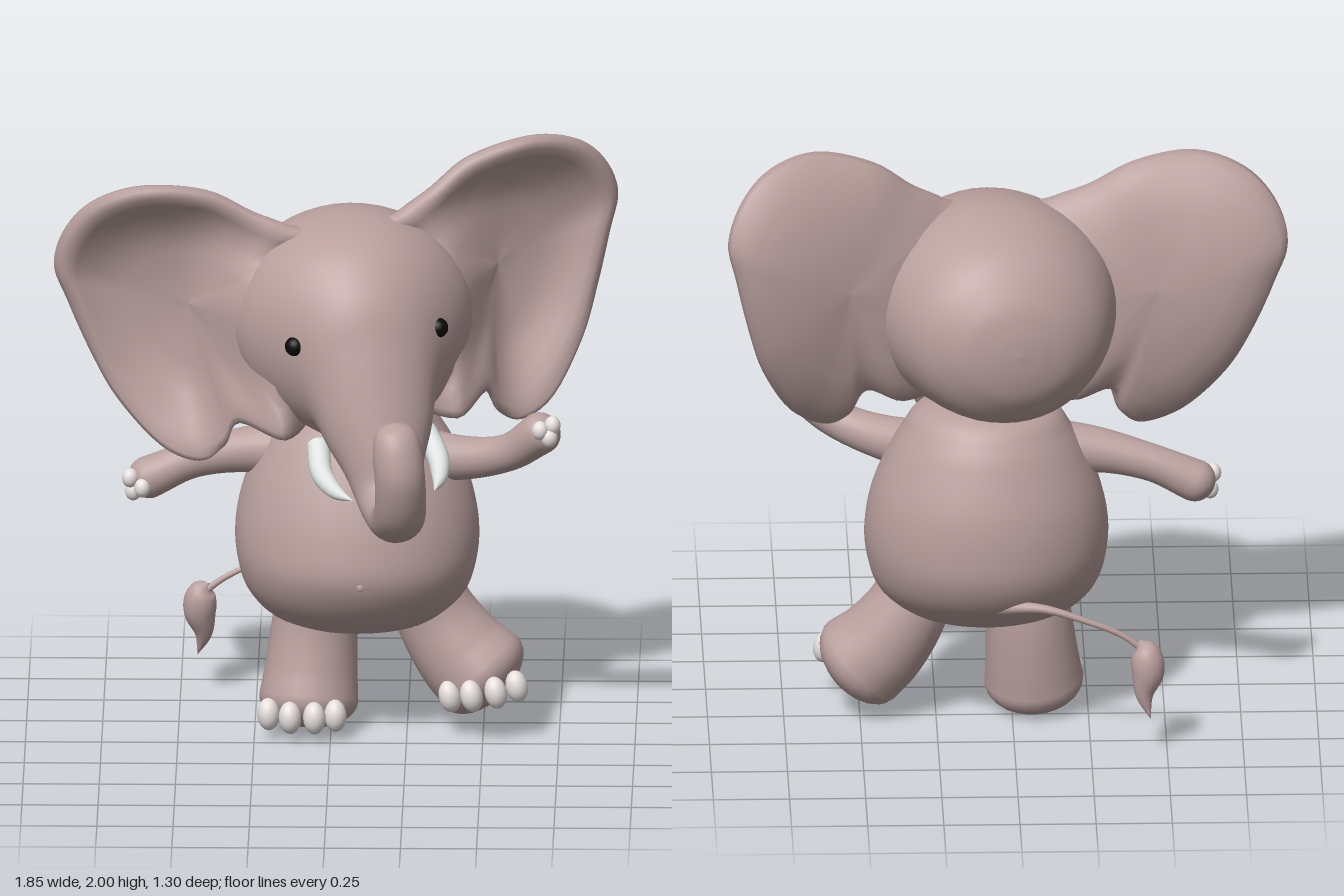
import * as THREE from 'three';

const mat = (color) => new THREE.MeshStandardMaterial({ color, roughness: 0.8 });
const skin = mat(0xb89f9d), ivory = mat(0xdfe4e2), nail = mat(0xe6dfdd), black = mat(0x080808);
const V = (x, y, z) => new THREE.Vector3(x, y, z);
const { smoothstep } = THREE.MathUtils;

// Skin a list of equal-sized closed rings
function loft(rings, flip = false) {
  const n = rings[0].length, pos = [], index = [];
  rings.forEach((ring) => ring.forEach((p) => pos.push(p.x, p.y, p.z)));
  for (let i = 0; i < rings.length - 1; i++) {
    for (let j = 0; j < n; j++) {
      const k = (j + 1) % n, a = i * n + j, b = i * n + k, c = a + n, d = b + n;
      if (flip) index.push(a, c, b, b, c, d);
      else index.push(a, b, c, b, d, c);
    }
  }
  const g = new THREE.BufferGeometry();
  g.setAttribute('position', new THREE.Float32BufferAttribute(pos, 3));
  g.setIndex(index);
  g.computeVertexNormals();
  return g;
}

const ellipse = (c, u, v, n) => Array.from({ length: n }, (_, j) => {
  const a = (j / n) * Math.PI * 2;
  return c.clone().addScaledVector(u, Math.cos(a)).addScaledVector(v, Math.sin(a));
});

// Smoothly resample rows of numbers
function resample(rows, steps) {
  const curves = [];
  for (let k = 0; k < rows[0].length; k += 3) {
    curves.push(new THREE.CatmullRomCurve3(
      rows.map((r) => V(r[k], r[k + 1] ?? 0, r[k + 2] ?? 0)), false, 'catmullrom', 0.5));
  }
  return Array.from({ length: steps + 1 }, (_, i) =>
    curves.flatMap((c) => c.getPoint(i / steps).toArray()));
}

// Tapered limb through [x, y, z, radius], with a domed end of given bulge
function limb(points, bulge = 0, n = 24) {
  const rows = resample(points, points.length * 6);
  const at = (i) => V(...rows[i]);
  const last = rows.length - 1, rings = [];
  let U = null;
  rows.forEach((r, i) => {
    const T = at(Math.min(i + 1, last)).sub(at(Math.max(i - 1, 0))).normalize();
    if (!U) U = Math.abs(T.z) < 0.9 ? V(0, 0, 1) : V(0, 1, 0);
    U = U.clone().addScaledVector(T, -U.dot(T)).normalize();
    const W = T.clone().cross(U), rad = Math.max(r[3], 0);
    const ring = (c, s) => rings.push(ellipse(c, U.clone().multiplyScalar(s), W.clone().multiplyScalar(s), n));
    ring(at(i), rad);
    if (i === last && bulge) {
      for (let k = 1; k <= 8; k++) {
        const a = (k / 8) * Math.PI / 2;
        ring(at(i).addScaledVector(T, rad * bulge * Math.sin(a)), rad * Math.cos(a));
      }
    }
  });
  return loft(rings);
}

function add(parent, name, geometry, material = skin) {
  const m = new THREE.Mesh(geometry, material);
  m.name = name;
  parent.add(m);
  return m;
}

function blob(parent, name, p, s, material, tilt = 0) {
  const m = add(parent, name, new THREE.SphereGeometry(1, 20, 14), material);
  m.position.set(...p);
  m.scale.set(...s);
  m.rotation.z = tilt;
  return m;
}

// Ear: dished front, curled rim, rounded back, flaring into the cheek at its root
function ear(side) {
  const outline = new THREE.CatmullRomCurve3([
    [0.1, 1.7], [0.19, 1.765], [0.3, 1.82], [0.44, 1.905], [0.64, 1.945], [0.8, 1.905], [0.9, 1.81], [0.945, 1.68],
    [0.91, 1.55], [0.85, 1.37], [0.78, 1.21], [0.66, 1.05], [0.54, 0.99], [0.46, 1.03], [0.41, 1.12],
    [0.28, 1.08], [0.15, 1.12], [0.1, 1.4],
  ].map(([x, y]) => V(x, y, 0)), true, 'catmullrom', 0.5).getPoints(90).slice(0, -1);
  const profile = [[0, -0.055], [0.2, -0.055], [0.4, -0.05], [0.5, -0.045], [0.6, -0.035], [0.74, -0.012],
    [0.84, 0.018], [0.91, 0.034], [0.97, 0.026], [1, 0], [0.985, -0.03], [0.92, -0.052], [0.8, -0.075],
    [0.6, -0.095], [0.3, -0.1], [0, -0.1]];
  const rings = profile.map(([v, depth], i) => outline.map((p) => {
    const x = 0.52 + (p.x - 0.52) * v, y = 1.5 + (p.y - 1.5) * v;
    const rim = depth > 0 ? 0.25 + 0.75 * smoothstep(y, 1.1, 1.6) : 1;
    const root = (1 - smoothstep(x, 0.27, 0.6)) ** 1.5 * smoothstep(x, 0.13, 0.31) * (1 - smoothstep(y, 1.45, 1.8));
    const flare = root * (i < 9 ? 0.23 : i > 9 ? -0.05 : 0.05);
    const cup = (0.085 * ((y - 1.47) / 0.47) ** 2 - 0.03) * smoothstep(x, 0.3, 0.65);
    return V(side * x, y, -0.12 - (x - 0.25) * 0.23 + depth * rim + flare + cup);
  }));
  return loft(rings, side < 0);
}

function head() {
  const tilt = new THREE.Group(), g = new THREE.Group();
  tilt.name = 'head';
  tilt.position.set(0.055, 1.4, -0.2);
  tilt.rotation.set(0, 0.2, 0.08, 'YXZ');
  g.position.set(0, -1.4, 0.2);
  tilt.add(g);

  // Skull, face and trunk: upper z, y, lower z, y, half width
  const sections = [
    [-0.585, 1.38, -0.585, 1.38, 0], [-0.575, 1.47, -0.575, 1.28, 0.1], [-0.54, 1.57, -0.54, 1.19, 0.21],
    [-0.44, 1.69, -0.45, 1.1, 0.32],
    [-0.25, 1.77, -0.27, 1.06, 0.395], [-0.06, 1.77, -0.1, 1.05, 0.395], [0.1, 1.71, 0, 1.04, 0.33],
    [0.22, 1.58, 0.08, 1.03, 0.245], [0.28, 1.42, 0.12, 1.02, 0.205], [0.33, 1.25, 0.16, 0.995, 0.175],
    [0.37, 1.1, 0.2, 0.95, 0.135], [0.39, 1.01, 0.25, 0.885, 0.112], [0.42, 0.975, 0.35, 0.825, 0.1],
    [0.455, 0.97, 0.47, 0.81, 0.09], [0.495, 1.01, 0.6, 0.89, 0.085], [0.505, 1.08, 0.665, 1.04, 0.083],
    [0.5, 1.17, 0.655, 1.15, 0.08], [0.515, 1.23, 0.62, 1.22, 0.058], [0.567, 1.25, 0.567, 1.25, 0],
  ].map((r) => [...r, 0]);
  const rings = resample(sections, 90).map(([fz, fy, bz, by, w]) => ellipse(
    V(0, (fy + by) / 2, (fz + bz) / 2), V(0, (fy - by) / 2, (fz - bz) / 2), V(-Math.max(w, 0), 0, 0), 48));
  add(g, 'headAndTrunk', loft(rings));

  for (const s of [1, -1]) {
    const label = s > 0 ? 'left' : 'right';
    add(g, label + 'Ear', ear(s));
    blob(g, label + 'Eye', [s * 0.24, 1.425, 0.145], [0.033, 0.033, 0.033], black);
    add(g, label + 'Tusk', limb([[s * 0.18, 1.06, 0.09, 0.038], [s * 0.195, 1.0, 0.2, 0.036],
      [s * 0.175, 0.967, 0.32, 0.025], [s * 0.135, 0.96, 0.435, 0]], 0, 16), ivory);
  }
  return tilt;
}

export function createModel() {
  const model = new THREE.Group();
  model.name = 'elephant';

  // Body: y, centre z, half width, half depth
  const body = resample([
    [0.335, -0.22, 0, 0], [0.346, -0.22, 0.17, 0.13], [0.39, -0.225, 0.285, 0.225],
    [0.47, -0.235, 0.36, 0.31], [0.57, -0.24, 0.393, 0.36], [0.68, -0.25, 0.4, 0.36],
    [0.8, -0.26, 0.38, 0.338], [0.92, -0.265, 0.335, 0.297], [1.02, -0.27, 0.28, 0.25],
    [1.1, -0.27, 0.21, 0.18], [1.15, -0.27, 0, 0],
  ], 50).map(([y, z, rx, rz]) => ellipse(V(0.085, y, z), V(0, 0, rz), V(rx, 0, 0), 48));
  add(model, 'body', loft(body));
  blob(model, 'navel', [0.1, 0.56, 0.118], [0.012, 0.012, 0.005], skin);
  model.add(head());

  // Arms with finger nails
  add(model, 'rightArm', limb([[-0.06, 0.93, -0.24, 0.11], [-0.26, 0.93, -0.25, 0.078],
    [-0.45, 0.89, -0.27, 0.062], [-0.6, 0.825, -0.275, 0.07]], 0.95));
  add(model, 'leftArm', limb([[0.2, 0.93, -0.26, 0.1], [0.42, 0.935, -0.14, 0.074],
    [0.58, 0.975, -0.06, 0.062], [0.69, 1.06, 0, 0.07]], 0.9));
  [[-0.66, 0.835, -0.23], [-0.62, 0.805, -0.215], [-0.65, 0.785, -0.25],
    [0.69, 1.085, 0.06], [0.73, 1.1, 0.05], [0.72, 1.06, 0.06]]
    .forEach((p) => blob(model, 'fingerNail', p, [0.027, 0.032, 0.028], nail));

  // Legs
  add(model, 'rightLeg', limb([[-0.04, 0.5, -0.22, 0.13], [-0.055, 0.33, -0.22, 0.142],
    [-0.065, 0.2, -0.205, 0.152], [-0.073, 0.1, -0.185, 0.163]], 0.6));
  add(model, 'leftLeg', limb([[0.29, 0.5, -0.23, 0.12], [0.35, 0.36, -0.24, 0.138],
    [0.425, 0.25, -0.23, 0.155], [0.495, 0.18, -0.215, 0.166]], 0.6));

  // Toe nails fanned around the front of each foot
  [-0.8, -0.29, 0.2, 0.66].forEach((a, i) => {
    const x = 0.165 * Math.sin(a), z = 0.162 * Math.cos(a);
    blob(model, 'rightToeNail', [-0.085 + x, 0.08, -0.17 + z], [0.037, 0.054, 0.042], nail, 0.05);
    blob(model, 'leftToeNail', [0.51 + x, 0.135 + i * 0.013, -0.2 + z], [0.037, 0.054, 0.042], nail, 0.2);
  });

  // Tail and tuft
  add(model, 'tail', limb([[0.05, 0.48, -0.52, 0.025], [-0.1, 0.49, -0.57, 0.015], [-0.25, 0.445, -0.58, 0.01],
    [-0.35, 0.4, -0.575, 0.01], [-0.42, 0.35, -0.575, 0.012]], 0, 12));
  add(model, 'tailTuft', limb([[-0.41, 0.38, -0.575, 0.004], [-0.43, 0.345, -0.585, 0.046],
    [-0.437, 0.28, -0.595, 0.054], [-0.425, 0.2, -0.605, 0.03], [-0.445, 0.12, -0.62, 0]], 0, 16));
  return model;
}
